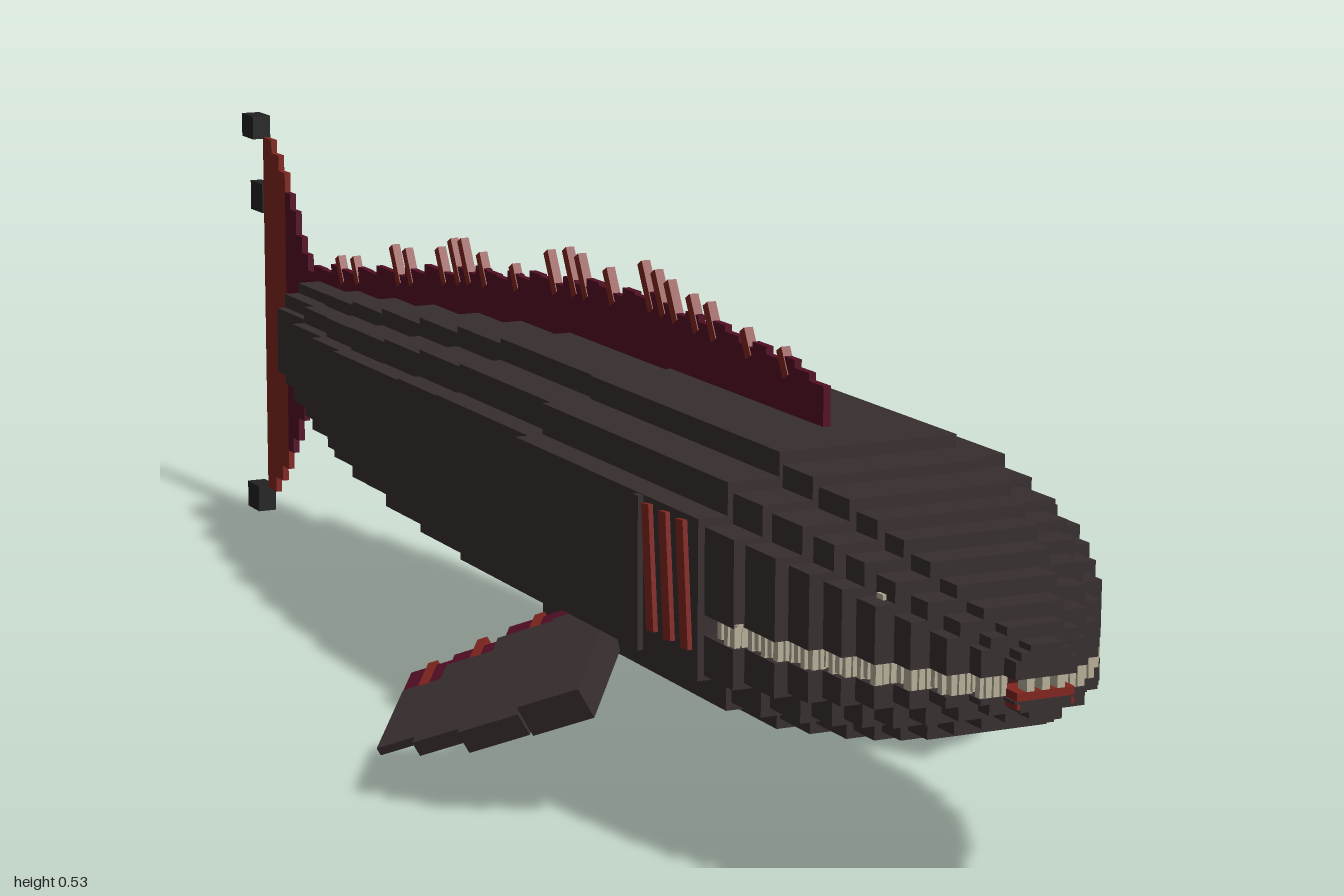
import * as THREE from 'three';

const mat = (name, color) => Object.assign(new THREE.MeshStandardMaterial({ color }), { name });

export function createModel() {
  const hide = mat('charcoal hide', 0x372e2f);
  const maroon = mat('maroon fin', 0x520d24);
  const brick = mat('brick red', 0x80251f);
  const ivory = mat('ivory', 0xb5ad97);
  const black = mat('black tip', 0x232222);
  const gum = mat('dark gum', 0x3a1216);
  const model = new THREE.Group();
  model.name = 'seaBeast';

  // Box given by its limits on each axis
  const box = (parent, name, m, x0, x1, y0, y1, z0, z1) => {
    const mesh = new THREE.Mesh(new THREE.BoxGeometry(x1 - x0, y1 - y0, z1 - z0), m);
    mesh.position.set((x0 + x1) / 2, (y0 + y1) / 2, (z0 + z1) / 2);
    mesh.name = name;
    parent.add(mesh);
    return mesh;
  };
  const group = (name) => {
    const g = new THREE.Group();
    g.name = name;
    model.add(g);
    return g;
  };
  // Stepped cross-section: width share, inset share at top and bottom
  const layers = [[1, 0.21], [0.83, 0.09], [0.53, 0]];

  // Body segments: back z, front z, half width, bottom, top
  const body = group('body');
  const segments = [
    [0.25, 0.67, 0.183, 0.13, 0.403], [0, 0.25, 0.165, 0.132, 0.4],
    [-0.13, 0, 0.156, 0.136, 0.392], [-0.25, -0.13, 0.147, 0.142, 0.382],
    [-0.38, -0.25, 0.134, 0.152, 0.371], [-0.5, -0.38, 0.114, 0.166, 0.36],
    [-0.62, -0.5, 0.092, 0.183, 0.35], [-0.75, -0.62, 0.062, 0.2, 0.342],
  ];
  for (const [z0, z1, w, b, t] of segments)
    for (const [k, inset] of layers) {
      const d = (t - b) * inset;
      box(body, 'bodySegment', hide, -w * k, w * k, b + d, t - d, z0, z1);
    }
  box(body, 'tailStub', hide, -0.03, 0.03, 0.235, 0.305, -0.77, -0.75);

  // Head steps towards the snout, split by the mouth: front z, half width, bottom, top
  const head = group('head');
  const steps = [
    [0.73, 0.176, 0.14, 0.39], [0.79, 0.164, 0.15, 0.38], [0.83, 0.15, 0.158, 0.368],
    [0.865, 0.135, 0.166, 0.356], [0.9, 0.12, 0.175, 0.342], [0.93, 0.1, 0.186, 0.326],
    [0.96, 0.08, 0.198, 0.31], [0.98, 0.056, 0.208, 0.296], [1, 0.032, 0.215, 0.283],
  ];
  const lip = 0.252, jaw = 0.232;
  let back = 0.67;
  for (const [z, w, b, t] of steps) {
    for (const [k, inset] of layers) {
      const d = (t - b) * inset;
      box(head, 'upperHead', hide, -w * k, w * k, lip, t - d, back, z);
      box(head, 'lowerJaw', hide, -w * k, w * k, b + d, jaw, back, z);
    }
    if (z < 0.99) box(head, 'mouthLining', gum, -w * 0.8, w * 0.8, jaw, lip, back, z - 0.012);
    back = z;
  }
  box(head, 'tongue', brick, -0.03, 0.03, 0.224, 0.24, 0.9, 1);

  // Teeth along both edges of the mouth
  const teeth = group('teeth');
  for (let i = 0; i < 22; i++) {
    const z = 0.7 + i * 0.013;
    const w = steps.find((s) => z < s[0])[1];
    const low = i % 2 ? 0.229 : 0.235;
    for (const s of [-1, 1]) {
      const x = s * (w - 0.006);
      box(teeth, 'sideTooth', ivory, x - 0.005, x + 0.005, low, lip + (i % 3) * 0.002, z - 0.004, z + 0.004);
    }
  }
  for (let i = 0; i < steps.length - 1; i++) {
    const [z, w] = steps[i];
    for (let x = steps[i + 1][1]; x < w; x += 0.008)
      for (const s of [-1, 1])
        box(teeth, 'frontTooth', ivory, s * x - 0.003, s * x + 0.003, 0.233, lip, z - 0.008, z + 0.001);
  }
  for (const x of [-0.016, 0, 0.016])
    box(teeth, 'snoutTooth', ivory, x - 0.004, x + 0.004, 0.238, lip, 0.985, 1);

  // Eyes and slanted gill slits
  for (const s of [-1, 1]) {
    box(head, 'eye', ivory, s * 0.1 - 0.003, s * 0.1 + 0.003, 0.3, 0.312, 0.872, 0.884);
    for (const z of [0.645, 0.608, 0.571]) {
      const gill = box(body, 'gill', brick, s * 0.184 - 0.004, s * 0.184 + 0.004, 0.215, 0.34, z - 0.008, z + 0.008);
      gill.rotation.x = -0.1;
    }
    box(body, 'gillCover', hide, s * 0.184 - 0.005, s * 0.184 + 0.005, 0.19, 0.345, 0.54, 0.552);
  }

  // Ragged ridges: short thin columns whose edge follows a profile of [z, y]
  const at = (profile, z) => {
    const i = Math.max(1, profile.findIndex((p) => p[0] <= z));
    const [a, b] = [profile[i - 1], profile[i]];
    return THREE.MathUtils.lerp(a[1], b[1], (z - a[0]) / (b[0] - a[0]));
  };
  const ridge = (name, profile, root, spikes, dir) => {
    const g = group(name);
    const start = profile[0][0], end = profile[profile.length - 1][0];
    const n = Math.round((start - end) / 0.03), step = (start - end) / n;
    for (let i = 0; i < n; i++) {
      const z = start - (i + 0.5) * step;
      const edge = at(profile, z) + dir * ((i * 7) % 5 - 2) * 0.0025;
      box(g, 'finRay', maroon, -0.004, 0.004, Math.min(edge, root), Math.max(edge, root), z - step / 2, z + step / 2);
    }
    for (const [z, len] of spikes) {
      const y = at(profile, z) + dir * (len / 2 - 0.018);
      const spike = box(g, 'spike', brick, -0.005, 0.005, y - len / 2, y + len / 2, z - 0.006, z + 0.006);
      spike.rotation.x = -dir * 0.5;
    }
  };
  ridge('dorsalFin',
    [[0.585, 0.447], [0.45, 0.46], [0.2, 0.472], [0, 0.458], [-0.3, 0.425], [-0.55, 0.385], [-0.77, 0.355]], 0.29,
    [[0.5, 0.03], [0.42, 0.03], [0.34, 0.04], [0.3, 0.04], [0.25, 0.045], [0.22, 0.05], [0.19, 0.055], [0.1, 0.04],
      [0.03, 0.05], [0, 0.055], [-0.05, 0.05], [-0.15, 0.03], [-0.24, 0.04], [-0.29, 0.055], [-0.32, 0.055],
      [-0.36, 0.045], [-0.46, 0.045], [-0.5, 0.05], [-0.63, 0.035], [-0.68, 0.035]], 1);
  ridge('ventralFin',
    [[-0.13, 0.134], [-0.3, 0.14], [-0.55, 0.148], [-0.77, 0.162]], 0.25,
    [[-0.16, 0.025], [-0.21, 0.03], [-0.25, 0.03], [-0.38, 0.025], [-0.43, 0.03], [-0.54, 0.03], [-0.65, 0.03], [-0.69, 0.025]], -1);

  // Tail fin columns: back z, front z, bottom, top
  const tail = group('tailFin');
  const rays = [
    [-0.79, -0.75, 0.195, 0.35], [-0.81, -0.79, 0.175, 0.37], [-0.83, -0.81, 0.15, 0.39],
    [-0.85, -0.83, 0.12, 0.42], [-0.868, -0.85, 0.1, 0.44], [-0.89, -0.868, 0.075, 0.465],
    [-0.915, -0.89, 0.055, 0.485], [-0.945, -0.915, 0.035, 0.502],
  ];
  rays.forEach(([z0, z1, b, t], i) => box(tail, 'tailRay', i < 5 ? maroon : brick, -0.004, 0.004, b, t, z0, z1));
  box(tail, 'upperTip', black, -0.012, 0.012, 0.498, 0.528, -1, -0.96);
  box(tail, 'lowerTip', black, -0.012, 0.012, 0, 0.034, -1, -0.96);
  box(tail, 'middleTip', black, -0.005, 0.01, 0.402, 0.44, -0.99, -0.948);

  // Pectoral fins: sloping down and swept back, thinner towards the tip
  const blades = [[0, 0.07, 0.17, 0.036], [0.07, 0.14, 0.18, 0.026], [0.14, 0.2, 0.15, 0.017], [0.2, 0.25, 0.115, 0.009]];
  for (const s of [-1, 1]) {
    const fin = group(s > 0 ? 'leftPectoralFin' : 'rightPectoralFin');
    fin.position.set(s * 0.18, 0.163, 0.46);
    fin.rotation.set(0, s * 0.75, -s * Math.PI / 6, 'ZYX');
    blades.forEach(([u0, u1, c, h], i) => {
      const [x0, x1] = s > 0 ? [u0, u1] : [-u1, -u0];
      const rear = -c / 2 + 0.012;
      box(fin, 'finBlade', hide, x0, x1, -h / 2, h / 2, rear, c / 2);
      box(fin, 'trailingMembrane', maroon, x0, x1, -0.004, 0.004, rear - 0.025 - (i % 2) * 0.008, rear);
      const x = (x0 + x1) / 2;
      box(fin, 'finSpike', brick, x - 0.006, x + 0.006, -0.005, 0.005, rear - 0.04, rear + 0.002);
    });
  }
  return model;
}
